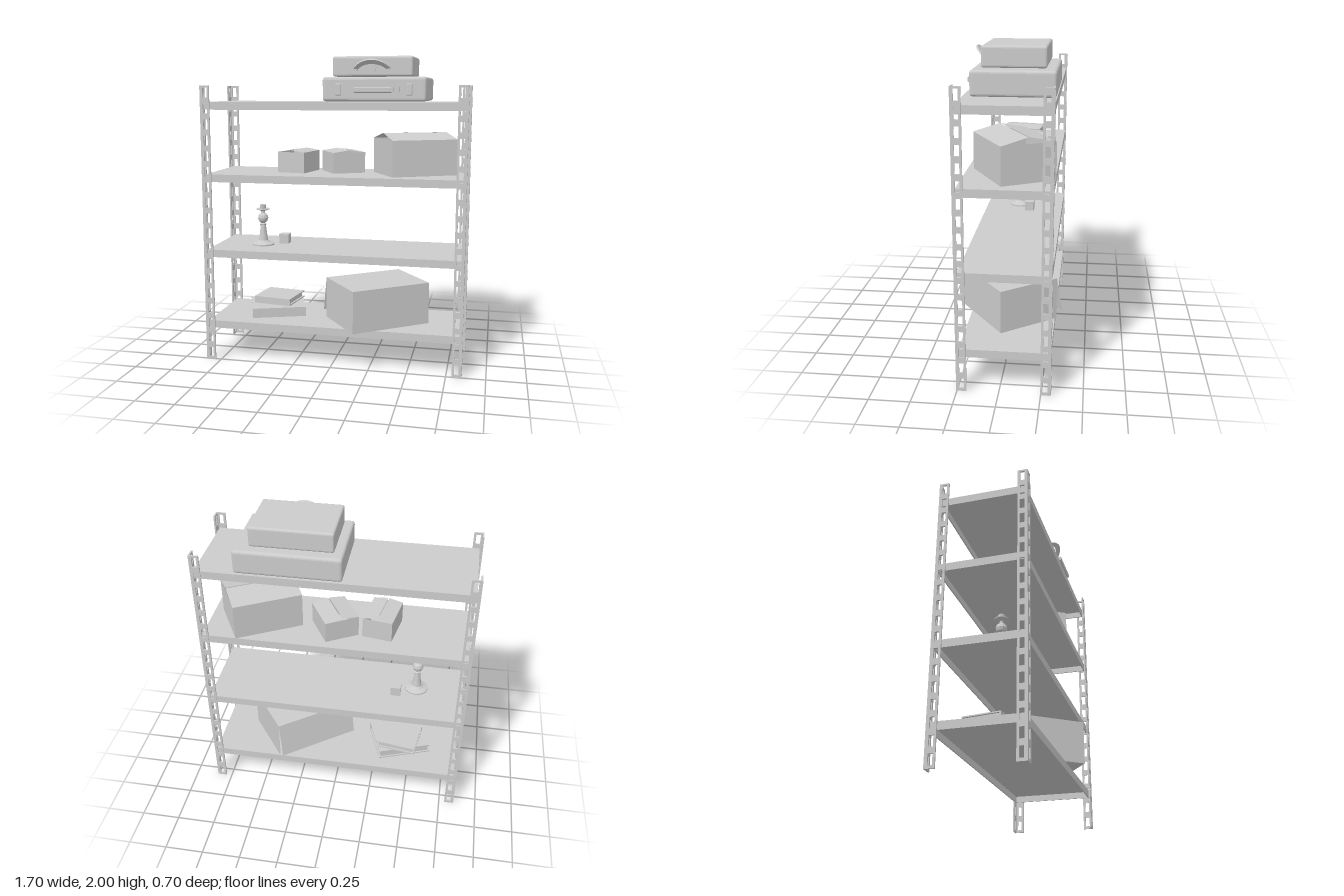
import * as THREE from 'three';
import { RoundedBoxGeometry } from 'three/addons/geometries/RoundedBoxGeometry.js';

const grey = new THREE.MeshStandardMaterial({ color: 0xcccccc, flatShading: true });
const thin = new THREE.MeshStandardMaterial({ color: 0xcccccc, flatShading: true, side: THREE.DoubleSide });

function add(parent, name, geometry, x = 0, y = 0, z = 0, material = grey) {
  const mesh = new THREE.Mesh(geometry, material);
  mesh.name = name;
  mesh.position.set(x, y, z);
  parent.add(mesh);
  return mesh;
}

function addGroup(parent, name, x = 0, y = 0, z = 0, turn = 0) {
  const group = new THREE.Group();
  group.name = name;
  group.position.set(x, y, z);
  group.rotation.y = turn;
  parent.add(group);
  return group;
}

const box = (w, h, d) => new THREE.BoxGeometry(w, h, d);

// Flat sheet through four corners
function sheet(parent, name, a, b, c, d) {
  const g = new THREE.BufferGeometry();
  g.setAttribute('position', new THREE.Float32BufferAttribute([...a, ...b, ...c, ...d], 3));
  g.setIndex([0, 1, 2, 0, 2, 3]);
  g.computeVertexNormals();
  return add(parent, name, g, 0, 0, 0, thin);
}

// Perforated strip: one leg of an angle post
function stripGeometry(width, height, thickness) {
  const s = new THREE.Shape();
  s.moveTo(0, 0).lineTo(width, 0).lineTo(width, height).lineTo(0, height).closePath();
  for (let i = 0; i < 18; i++) {
    const y = 0.05 + i * 0.1015, x = 0.034, hw = 0.014, hh = 0.032;
    const hole = new THREE.Path();
    hole.moveTo(x - hw, y - hh).lineTo(x - hw, y + hh).lineTo(x + hw, y + hh).lineTo(x + hw, y - hh).closePath();
    s.holes.push(hole);
  }
  return new THREE.ExtrudeGeometry(s, { depth: thickness, bevelEnabled: false });
}

function addPosts(parent) {
  const strip = stripGeometry(0.062, 1.82, 0.01);
  // [corner x, corner z, turn that points the two legs inward]
  const corners = [[-0.85, -0.31, 0], [-0.85, 0.255, Math.PI / 2], [0.85, 0.255, Math.PI], [0.85, -0.31, -Math.PI / 2]];
  for (const [x, z, turn] of corners) {
    const post = addGroup(parent, 'anglePost', x, 0, z, turn);
    add(post, 'postLegA', strip);
    add(post, 'postLegB', strip, 0.01, 0, 0).rotation.y = -Math.PI / 2;
  }
}

// Shelf: sheet top with folded-down edges, open underneath
function addShelf(parent, top) {
  const shelf = addGroup(parent, 'shelf', 0, top, -0.0325);
  const w = 1.66, d = 0.545, h = 0.05, t = 0.008;
  add(shelf, 'shelfTop', box(w, t, d), 0, -t / 2, 0);
  for (const s of [-1, 1]) {
    add(shelf, 'longEdge', box(w, h, t), 0, -h / 2, s * (d - t) / 2);
    add(shelf, 'shortEdge', box(t, h, d), s * (w - t) / 2, -h / 2, 0);
  }
}

// Carton with two top flaps tilted up to a central ridge and open gables
function addCarton(parent, name, x, y, z, w, h, d, rise, turn) {
  const g = addGroup(parent, name, x, y, z, turn);
  const a = w / 2, b = d / 2;
  sheet(g, 'cartonBase', [-a, 0, -b], [a, 0, -b], [a, 0, b], [-a, 0, b]);
  for (const s of [-1, 1]) {
    sheet(g, 'cartonEnd', [-a, 0, s * b], [a, 0, s * b], [a, h, s * b], [-a, h, s * b]);
    sheet(g, 'cartonSide', [s * a, 0, -b], [s * a, 0, b], [s * a, h, b], [s * a, h, -b]);
    sheet(g, 'cartonFlap', [s * a, h, -b], [s * a, h, b], [s * 0.004, h + rise, b], [s * 0.004, h + rise, -b]);
  }
}

// Large carton on its side, open at the back with a hanging flap
function addLyingCarton(parent) {
  const g = addGroup(parent, 'lyingCarton', 0.27, 0.27, 0.015, 0.638);
  const a = 0.277, b = 0.205, h = 0.275;
  sheet(g, 'cartonFront', [-a, 0, b], [a, 0, b], [a, h, b], [-a, h, b]);
  for (const s of [-1, 1])
    sheet(g, 'cartonSide', [s * a, 0, -b], [s * a, 0, b], [s * a, h, b], [s * a, h, -b]);
  for (const y of [0, h])
    sheet(g, 'cartonPanel', [-a, y, -b], [a, y, -b], [a, y, b], [-a, y, b]);
  sheet(g, 'hangingFlap', [-a, h, -b], [a, h, -b], [a, 0.04, -b - 0.045], [-a, 0.04, -b - 0.045]);
}

// Book: two covers, a spine and an inset page block
function addBook(parent, x, y, z, w, h, d, turn) {
  const g = addGroup(parent, 'book', x, y, z, turn);
  const t = 0.008;
  add(g, 'backCover', box(w, t, d), 0, t / 2, 0);
  add(g, 'frontCover', box(w, t, d), 0, h - t / 2, 0);
  add(g, 'spine', box(w, h, t), 0, h / 2, (d - t) / 2);
  add(g, 'pages', box(w - 0.024, h - 2 * t, d - 0.02), 0, h / 2, 0);
}

function addCandlestick(parent) {
  const profile = [[0, 0], [0.077, 0], [0.077, 0.01], [0.045, 0.02], [0.032, 0.032], [0.026, 0.07], [0.018, 0.135],
    [0.023, 0.142], [0.014, 0.15], [0.03, 0.165], [0.036, 0.185], [0.03, 0.205], [0.013, 0.218], [0.013, 0.232],
    [0.045, 0.243], [0.045, 0.248], [0.02, 0.248], [0.022, 0.275], [0.014, 0.275], [0.012, 0.255], [0, 0.255]];
  const points = profile.map(([r, y]) => new THREE.Vector2(r, y));
  add(parent, 'candlestick', new THREE.LatheGeometry(points, 12), -0.52, 0.75, 0, thin);
}

// Lower suitcase: bar handle on brackets and two latches
function addLargeSuitcase(parent) {
  const g = addGroup(parent, 'largeSuitcase', 0.265, 1.718, 0);
  add(g, 'caseBody', new RoundedBoxGeometry(0.65, 0.15, 0.495, 2, 0.018), 0, 0.079, -0.0575);
  add(g, 'handleGrip', new RoundedBoxGeometry(0.24, 0.036, 0.018, 2, 0.008), 0, 0.075, 0.222);
  for (const s of [-1, 1]) {
    add(g, 'handleArm', box(0.014, 0.026, 0.045), s * 0.122, 0.075, 0.208);
    add(g, 'handlePlate', box(0.045, 0.036, 0.01), s * 0.14, 0.075, 0.191);
    add(g, 'latch', new RoundedBoxGeometry(0.038, 0.074, 0.016, 2, 0.007), s * 0.222, 0.077, 0.193);
    add(g, 'latchClip', box(0.016, 0.044, 0.012), s * 0.222, 0.077, 0.198);
  }
}

// Upper suitcase: arched handle tilted outward and a clasp
function addSmallSuitcase(parent) {
  const g = addGroup(parent, 'smallSuitcase', 0.2475, 1.875, 0);
  add(g, 'caseBody', new RoundedBoxGeometry(0.505, 0.125, 0.38, 2, 0.014), 0, 0.0625, -0.055);
  const arch = new THREE.Shape();
  arch.moveTo(-0.125, 0).quadraticCurveTo(-0.075, 0.085, 0, 0.085).quadraticCurveTo(0.075, 0.085, 0.125, 0);
  arch.lineTo(0.095, 0).quadraticCurveTo(0.06, 0.05, 0, 0.05).quadraticCurveTo(-0.06, 0.05, -0.095, 0).closePath();
  const archGeometry = new THREE.ExtrudeGeometry(arch, { depth: 0.012, bevelEnabled: false, curveSegments: 6 });
  add(g, 'archHandle', archGeometry, 0, 0.048, 0.128).rotation.x = 0.8;
  for (const s of [-1, 1])
    add(g, 'handleMount', box(0.032, 0.024, 0.014), s * 0.11, 0.05, 0.137);
  const clasp = new THREE.Shape();
  clasp.moveTo(-0.016, 0).lineTo(0.016, 0).lineTo(0.027, 0.03).lineTo(0.018, 0.048).lineTo(-0.018, 0.048).lineTo(-0.027, 0.03).closePath();
  add(g, 'clasp', new THREE.ExtrudeGeometry(clasp, { depth: 0.014, bevelEnabled: false }), 0, 0.028, 0.13);
}

export function createModel() {
  const model = new THREE.Group();
  model.name = 'storageShelf';
  addPosts(model);
  for (const top of [0.265, 0.75, 1.25, 1.717]) addShelf(model, top);

  // Top shelf
  addLargeSuitcase(model);
  addSmallSuitcase(model);

  // Third shelf; the large carton's ridge runs along its length
  addCarton(model, 'mediumCarton', -0.278, 1.254, -0.05, 0.19, 0.135, 0.25, 0.014, -0.17);
  addCarton(model, 'smallCarton', 0.018, 1.254, -0.093, 0.22, 0.135, 0.25, 0.014, 0.52);
  addCarton(model, 'largeCarton', 0.5, 1.254, -0.055, 0.345, 0.228, 0.44, 0.038, 0.5 + Math.PI / 2);

  // Second shelf
  addCandlestick(model);
  add(model, 'smallCube', box(0.066, 0.064, 0.064), -0.388, 0.784, -0.075);

  // Bottom shelf
  addBook(model, -0.43, 0.276, -0.03, 0.36, 0.064, 0.3, 0.35);
  addBook(model, -0.433, 0.341, -0.08, 0.265, 0.047, 0.25, -0.15);
  addLyingCarton(model);
  return model;
}
